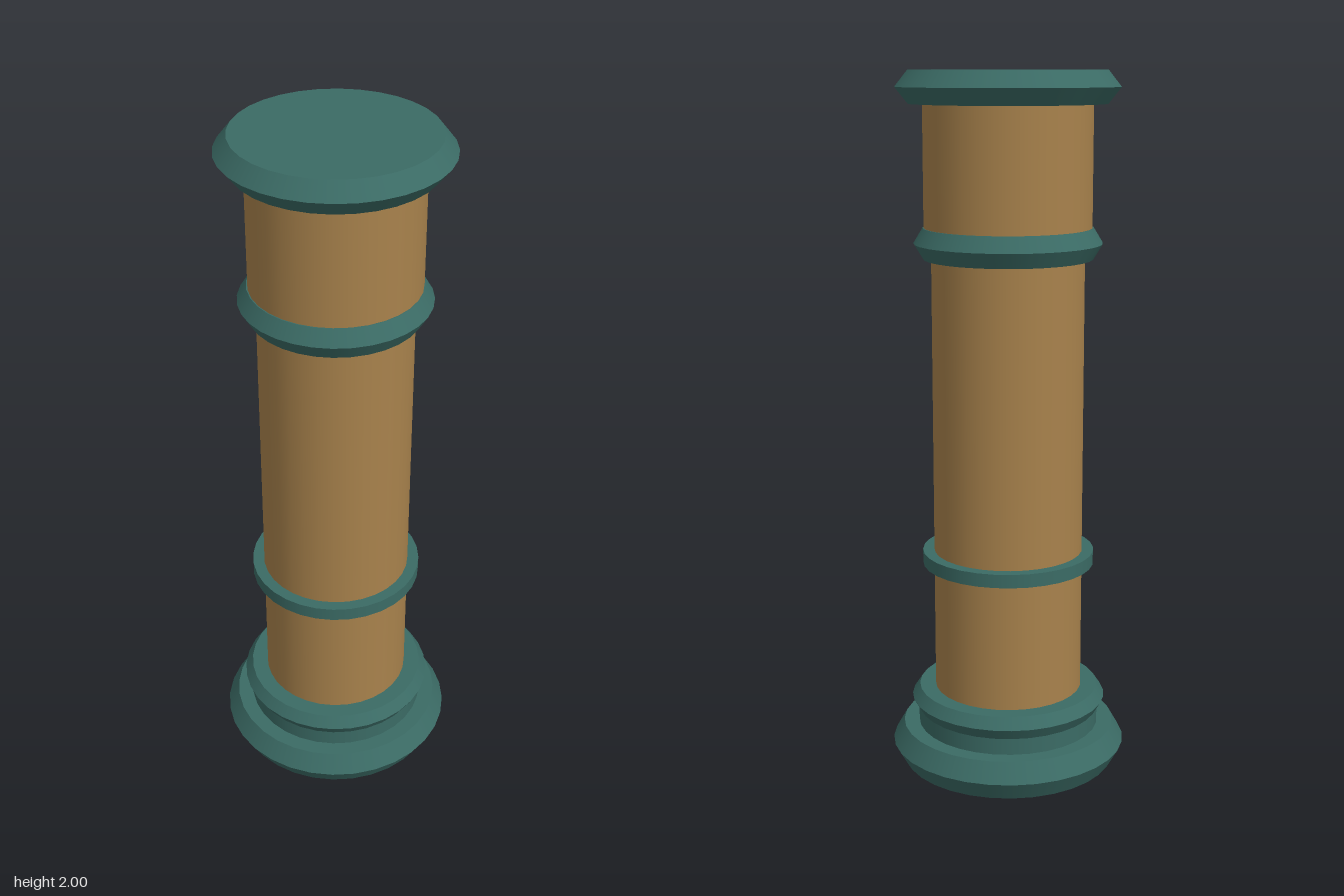
import * as THREE from 'three';
import { mergeGeometries } from 'three/addons/utils/BufferGeometryUtils.js';

const SIDES = 32;

// Stacks conical bands through [radius, y] points: smooth around, sharp between bands.
function turned(points) {
  const bands = [];
  for (let i = 0; i < points.length - 1; i++) {
    const [r0, y0] = points[i];
    const [r1, y1] = points[i + 1];
    const band = new THREE.CylinderGeometry(r1, r0, y1 - y0, SIDES, 1, true);
    bands.push(band.translate(0, (y0 + y1) / 2, 0));
  }
  // Closing discs
  const [rb, yb] = points[0];
  const [rt, yt] = points[points.length - 1];
  bands.push(new THREE.CircleGeometry(rb, SIDES).rotateX(Math.PI / 2).translate(0, yb, 0));
  bands.push(new THREE.CircleGeometry(rt, SIDES).rotateX(-Math.PI / 2).translate(0, yt, 0));
  return mergeGeometries(bands);
}

export function createModel() {
  const teal = new THREE.MeshStandardMaterial({ color: 0x3b6b65 });
  teal.name = 'teal trim';
  const brown = new THREE.MeshStandardMaterial({ color: 0xa8824c });
  brown.name = 'ochre shaft';

  const model = new THREE.Group();
  model.name = 'column';
  const add = (name, material, points) => {
    const mesh = new THREE.Mesh(turned(points), material);
    mesh.name = name;
    model.add(mesh);
  };

  // Base
  add('basePlinth', teal, [[0.31, 0], [0.342, 0.056], [0.31, 0.112]]);
  add('baseNeck', teal, [[0.265, 0.11], [0.265, 0.17]]);
  add('baseCollar', teal, [[0.265, 0.16], [0.284, 0.193], [0.262, 0.226]]);

  // Shaft sections
  add('mainShaft', brown, [[0.215, 0.22], [0.215, 1.5]]);
  add('upperShaft', brown, [[0.235, 1.56], [0.235, 1.92]]);

  // Bands around the shaft
  add('lowerBand', teal, [[0.248, 0.603], [0.248, 0.642]]);
  add('upperCollar', teal, [[0.238, 1.488], [0.264, 1.531], [0.238, 1.574]]);

  // Capital
  add('capital', teal, [[0.274, 1.91], [0.31, 1.955], [0.274, 2]]);

  return model;
}
